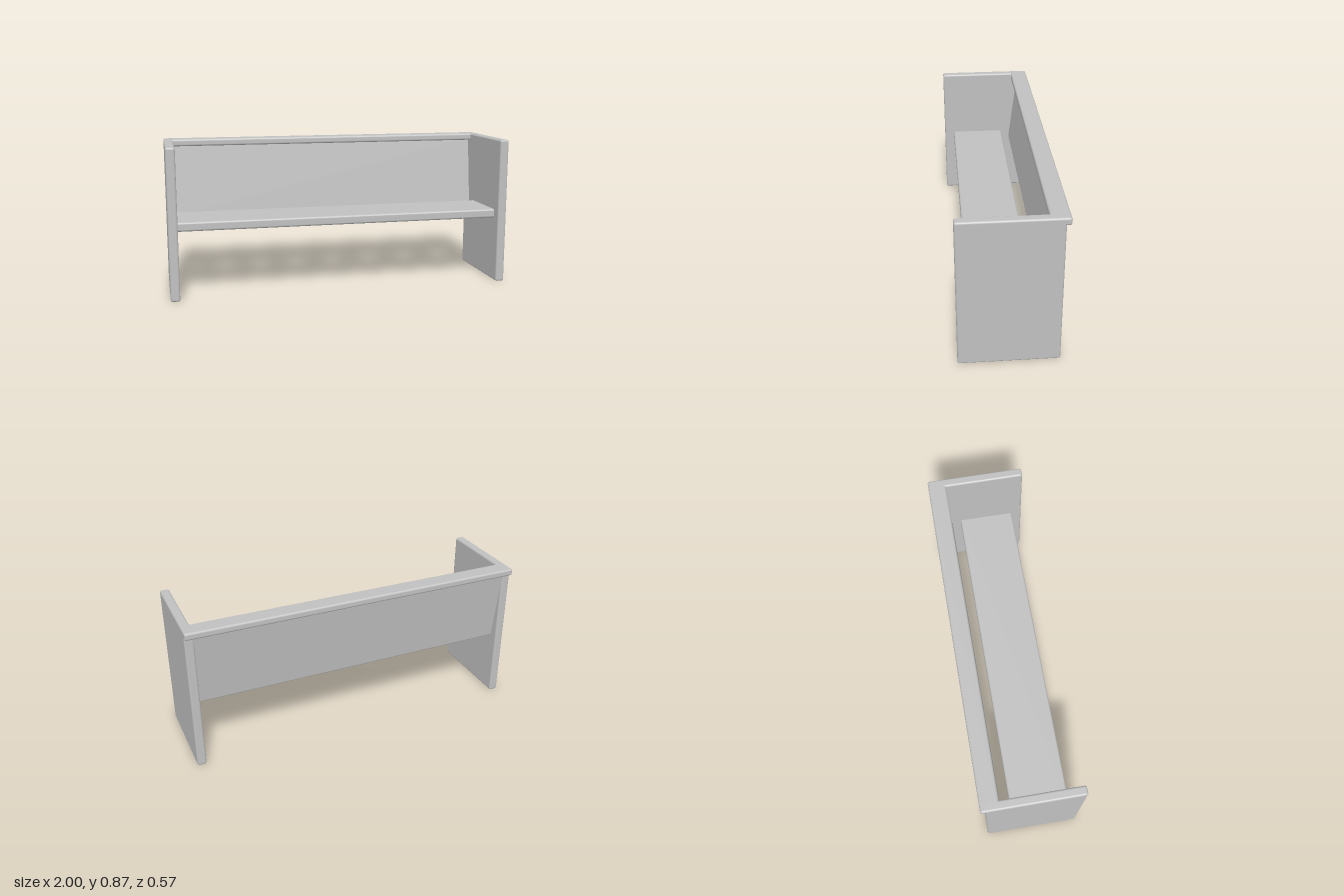
import * as THREE from 'three';
import { RoundedBoxGeometry } from 'three/addons/geometries/RoundedBoxGeometry.js';

const grey = new THREE.MeshStandardMaterial({ color: 0xc0c0c0 });
grey.name = 'grey';

// A softly rounded board given by its size and centre
function board(name, [w, h, d], [x, y, z], radius = 0.012) {
  const mesh = new THREE.Mesh(new RoundedBoxGeometry(w, h, d, 4, radius), grey);
  mesh.name = name;
  mesh.position.set(x, y, z);
  return mesh;
}

export function createModel() {
  const bench = new THREE.Group();
  bench.name = 'bench';

  // Solid end panels, standing on the floor
  const thick = 0.053, height = 0.865, front = 0.285, back = -0.259;
  for (const side of [-1, 1]) {
    bench.add(board(side > 0 ? 'leftEndPanel' : 'rightEndPanel',
      [thick, height, front - back],
      [side * (1 - thick / 2), height / 2, (front + back) / 2]));
  }

  // Inner boards run a little way into the end panels
  const span = 2 - thick;

  // Flat seat
  bench.add(board('seat', [span, 0.053, 0.335], [0, 0.412, 0.056]));

  // Leaning backrest, tucked under the top rail
  const backrest = board('backrest', [span, 0.46, 0.04], [0, 0.615, -0.213], 0.01);
  backrest.rotation.x = -0.125;
  bench.add(backrest);

  // Top rail across the full width, overhanging the back
  bench.add(board('topRail', [2, 0.042, 0.105], [0, height - 0.021, -0.2325]));

  return bench;
}
